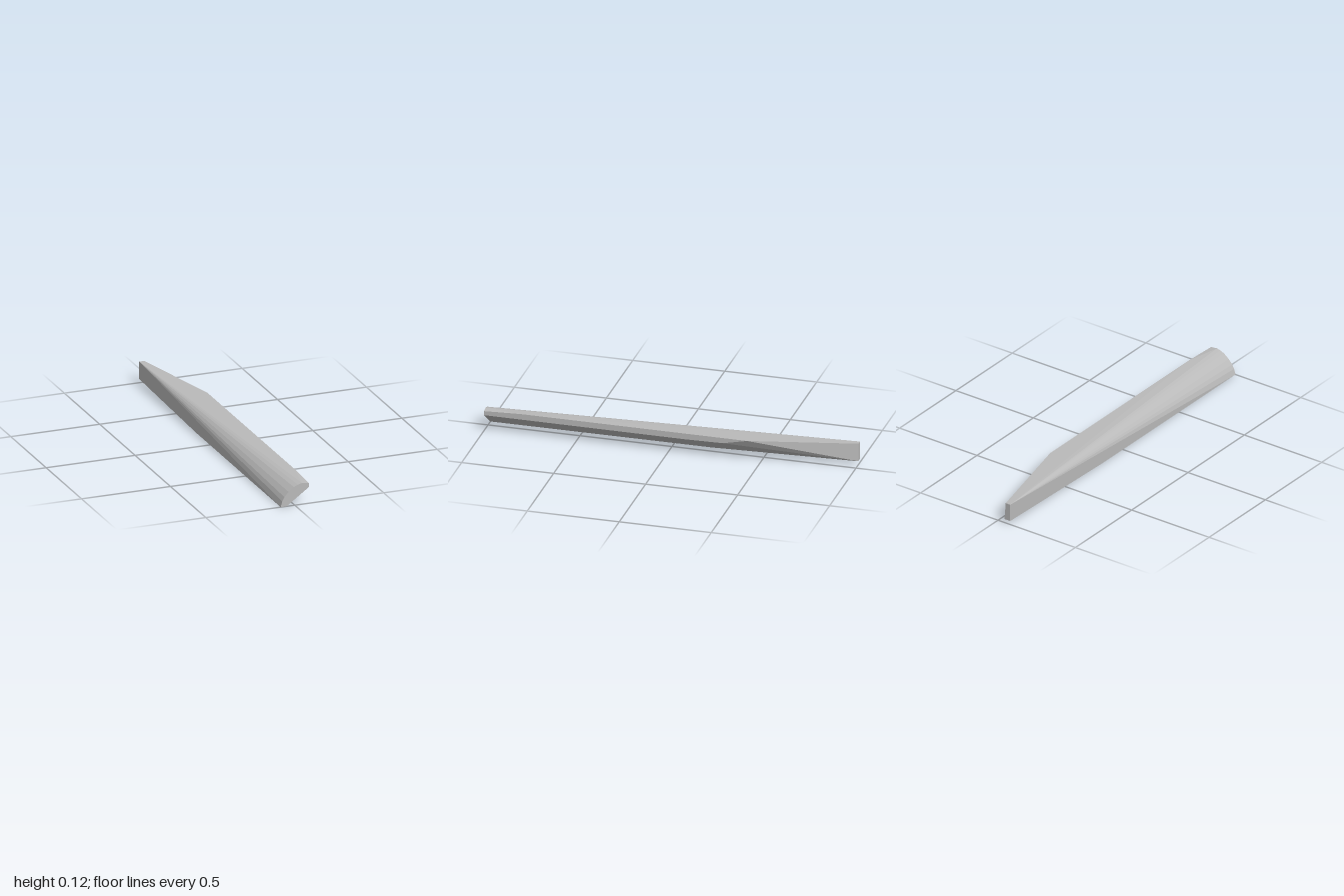
import * as THREE from 'three';
import { ConvexGeometry } from 'three/addons/geometries/ConvexGeometry.js';

// Turns [x, y] outline points into 3D points at depth z
const section = (z, outline) => outline.map(([x, y]) => new THREE.Vector3(x, y, z));

export function createModel() {
  const group = new THREE.Group();
  const grey = new THREE.MeshStandardMaterial({ color: 0xbababa });
  grey.name = 'grey';

  const points = [
    // rounded front end
    ...section(1, [
      [-0.079, 0], [-0.046, 0], [0.079, 0.09], [0.079, 0.113], [0.04, 0.118],
      [0.018, 0.112], [-0.005, 0.102], [-0.035, 0.079], [-0.058, 0.053], [-0.07, 0.031],
    ]),
    // slight crown on the upper right edge
    ...section(0.8, [[0.079, 0.121]]),
    // keel and lower right edge before the taper
    ...section(-0.1, [[0.079, 0.087]]),
    ...section(-0.2, [[-0.079, 0], [-0.046, 0]]),
    // start of the slanted cut
    ...section(-0.3, [[0.079, 0.09]]),
    ...section(-0.43, [[0.079, 0.119]]),
    // narrow upright back end
    ...section(-1, [[-0.079, 0.021], [-0.042, 0.021], [-0.05, 0.118], [-0.079, 0.118]]),
  ];

  const bar = new THREE.Mesh(new ConvexGeometry(points), grey);
  bar.name = 'taperedBar';
  group.add(bar);
  return group;
}
